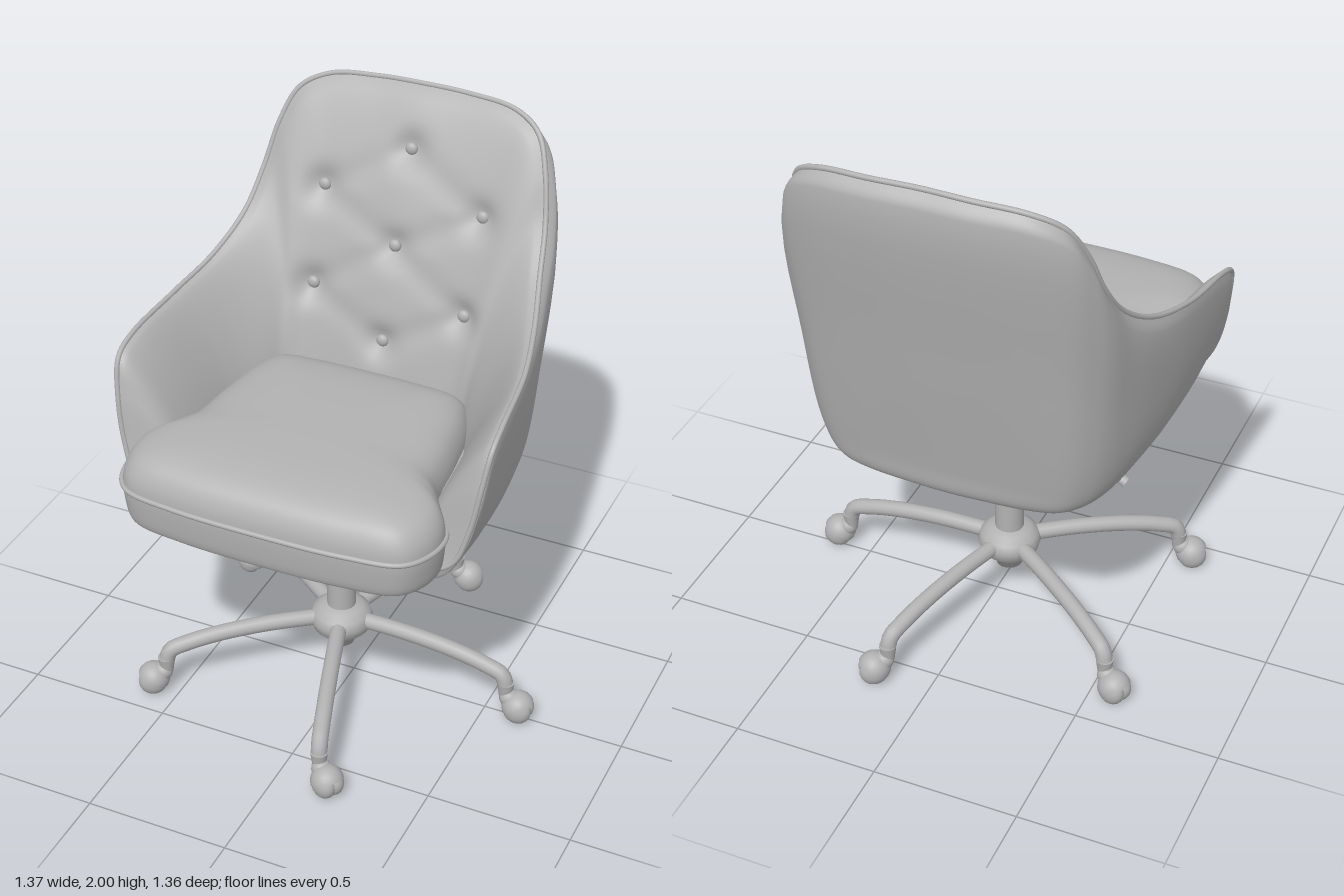
import * as THREE from 'three';

const V = (x, y, z) => new THREE.Vector3(x, y, z);
const grey = new THREE.MeshStandardMaterial({ color: 0xb2b2b2 });
grey.name = 'grey';

function add(parent, name, geometry, x = 0, y = 0, z = 0) {
  const m = new THREE.Mesh(geometry, grey);
  m.name = name;
  m.position.set(x, y, z);
  parent.add(m);
  return m;
}

// Closed, mirrored smooth loop from a half outline (front centre to back centre)
function mirrorLoop(half) {
  const other = half.slice(1, -1).reverse().map((p) => V(-p.x, p.y, p.z));
  return new THREE.CatmullRomCurve3([...half, ...other], true);
}

// Skin over closed rings of points; outward when the rings run downwards
function loft(rings) {
  const n = rings[0].length, index = [];
  for (let i = 0; i < rings.length - 1; i++) {
    for (let j = 0; j < n; j++) {
      const a = i * n + j, b = i * n + ((j + 1) % n);
      index.push(a, a + n, b, b, a + n, b + n);
    }
  }
  const g = new THREE.BufferGeometry().setFromPoints(rings.flat());
  g.setIndex(index);
  g.computeVertexNormals();
  return g;
}

// Cylinder between two points
function rod(parent, name, a, b, r1, r2 = r1) {
  const m = add(parent, name, new THREE.CylinderGeometry(r2, r1, a.distanceTo(b), 20));
  m.position.copy(a).lerp(b, 0.5);
  m.quaternion.setFromUnitVectors(V(0, 1, 0), b.clone().sub(a).normalize());
}

// Half rim of the bucket: x, y, z, then x, z of the wall just above the bottom
const SHELL = [
  [0, 0.855, 0.42, 0, 0.42], [0.28, 0.855, 0.42, 0.28, 0.42], [0.46, 0.86, 0.42, 0.45, 0.42],
  [0.56, 0.91, 0.415, 0.535, 0.41], [0.607, 1.03, 0.4, 0.57, 0.395], [0.637, 1.2, 0.375, 0.585, 0.36],
  [0.65, 1.31, 0.335, 0.587, 0.31], [0.648, 1.35, 0.25, 0.587, 0.22], [0.622, 1.385, 0, 0.573, 0],
  [0.576, 1.44, -0.2, 0.55, -0.17], [0.532, 1.54, -0.35, 0.53, -0.28], [0.506, 1.67, -0.45, 0.505, -0.36],
  [0.474, 1.82, -0.515, 0.47, -0.42], [0.425, 1.925, -0.57, 0.41, -0.47], [0.33, 1.973, -0.61, 0.3, -0.495],
  [0.16, 1.987, -0.63, 0.15, -0.505], [0, 1.991, -0.63, 0, -0.51],
];

const BUTTONS = [[0, 1.8], [-0.285, 1.64], [0.285, 1.64], [0, 1.5], [-0.275, 1.325], [0.275, 1.325], [0, 1.185]];
const CREASES = [[0, 1], [0, 2], [1, 3], [2, 3], [3, 4], [3, 5], [4, 6], [5, 6]];

// Depth of the tufting at a point of the backrest
function tuft(x, y) {
  let crease = 0, dent = 0;
  for (const [bx, by] of BUTTONS) dent = Math.max(dent, Math.exp(-((x - bx) ** 2 + (y - by) ** 2) / 0.003));
  for (const [a, b] of CREASES) {
    const [ax, ay] = BUTTONS[a], dx = BUTTONS[b][0] - ax, dy = BUTTONS[b][1] - ay;
    const t = THREE.MathUtils.clamp(((x - ax) * dx + (y - ay) * dy) / (dx * dx + dy * dy), 0, 1);
    const d2 = (x - ax - t * dx) ** 2 + (y - ay - t * dy) ** 2;
    crease = Math.max(crease, Math.exp(-d2 / 0.002));
  }
  return 0.03 * dent + 0.008 * crease;
}

function buildShell(parent) {
  const rim = mirrorLoop(SHELL.map(([x, y, z]) => V(x, y, z)));
  const knee = mirrorLoop(SHELL.map((r) => V(r[3], 0, r[4])));
  const N = 256, OUT = 30, IN = 56;
  const outer = Array.from({ length: OUT + 2 }, () => []);
  const inner = Array.from({ length: IN + 2 }, () => []);
  for (let j = 0; j < N; j++) {
    const R = rim.getPoint(j / N), K = knee.getPoint(j / N);
    const dir = V(K.x, 0, Math.min(K.z + 0.1, 0));
    dir.divideScalar(Math.max(dir.length(), 0.3));
    const tall = THREE.MathUtils.clamp((R.y - 0.855) / 0.35, 0, 1);
    const rear = THREE.MathUtils.smoothstep(-R.z, -0.1, 0.55);

    // outside wall, rounding under to the bottom
    const F = V(K.x * 0.82, 0, K.z > 0 ? K.z : K.z * 0.89);
    F.y = 0.79 + 0.07 * F.z;
    K.y = Math.min(F.y + 0.13, F.y + (R.y - F.y) * 0.4);
    const shoulder = R.clone().addScaledVector(dir, (0.004 + 0.034 * rear) * tall).add(V(0, -0.05 * tall - 0.003, 0));
    const mid = shoulder.clone().lerp(K, 0.55).addScaledVector(dir, 0.012 * tall);
    const turn = K.clone().lerp(F, 0.55).addScaledVector(dir, 0.015);
    turn.y = F.y + (K.y - F.y) * 0.3;
    const column = new THREE.CatmullRomCurve3([R, shoulder, mid, K, turn, F]);
    for (let i = 0; i <= OUT; i++) outer[i].push(column.getPoint(i / OUT));
    outer[OUT + 1].push(V(0, 0.785, 0));

    // padded inside, thickest on the backrest
    const foot = V(K.x * 0.74, Math.min(0.92, R.y - 0.01), K.z * (K.z < 0 ? 0.49 : 0.9));
    for (let i = 0; i <= IN; i++) {
      const t = i / IN;
      const puff = (0.05 + 0.035 * rear) * tall * Math.sin(Math.PI * Math.min(t, 0.999)) ** 0.4;
      const p = R.clone().lerp(foot, t).addScaledVector(dir, -puff);
      if (p.z < -0.15) p.z -= tuft(p.x, p.y) * Math.min(1, t * 8);
      inner[i].push(p);
    }
    inner[IN + 1].push(V(0, 0.87, 0.1));
  }
  add(parent, 'outerShell', loft(outer));
  add(parent, 'innerPadding', loft(inner.slice().reverse()));
  add(parent, 'shellPiping', new THREE.TubeGeometry(rim, 320, 0.009, 8, true));

  // buttons sit in the dents of the backrest
  const back = inner.flat().filter((p) => p.z < -0.2);
  for (const [x, y] of BUTTONS) {
    const gap = (p) => (p.x - x) ** 2 + (p.y - y) ** 2;
    const spot = back.reduce((best, p) => (gap(p) < gap(best) ? p : best));
    add(parent, 'button', new THREE.SphereGeometry(0.022, 16, 12), x, y, spot.z + 0.006).scale.z = 0.7;
  }
}

function buildSeat(parent) {
  const half = [[0, 0.65], [0.3, 0.64], [0.48, 0.605], [0.54, 0.52], [0.548, 0.42], [0.505, 0.34],
    [0.455, 0.25], [0.43, 0.05], [0.395, -0.15], [0.35, -0.235], [0.2, -0.258], [0, -0.262]];
  const seam = mirrorLoop(half.map(([x, z]) => V(x, 1.005, z)));
  // scale and height of each layer, top to bottom
  const section = new THREE.CatmullRomCurve3([[0, 1.155], [0.35, 1.153], [0.65, 1.145], [0.83, 1.127], [0.93, 1.095],
    [0.98, 1.05], [0.995, 1.005], [0.99, 0.94], [0.97, 0.88], [0.93, 0.862], [0.5, 0.858], [0, 0.858]]
    .map(([s, y]) => V(s, y, 0)));
  const rings = section.getPoints(44).map((c) =>
    Array.from({ length: 176 }, (_, j) => {
      const p = seam.getPoint(j / 176);
      return V(p.x * c.x, c.y, 0.2 + (p.z - 0.2) * c.x);
    }));
  add(parent, 'seatCushion', loft(rings));
  add(parent, 'seatPiping', new THREE.TubeGeometry(seam, 240, 0.009, 8, true));
}

function buildMechanism(parent) {
  const plates = [['bottomPanel', 0.66, 0.012, 0.6, 0.786, 0], ['mountingPlate', 0.4, 0.02, 0.42, 0.778, 0.01],
    ['tiltMechanism', 0.31, 0.035, 0.38, 0.757, 0.01]];
  for (const [name, w, h, d, y, z] of plates) {
    add(parent, name, new THREE.BoxGeometry(w, h, d), 0, y, z).rotation.x = -0.07;
  }
  rod(parent, 'leverRod', V(-0.13, 0.765, 0.02), V(-0.32, 0.65, 0.02), 0.009);
  rod(parent, 'leverHandle', V(-0.3, 0.662, 0.02), V(-0.42, 0.598, 0.02), 0.012, 0.019);
}

function buildBase(parent) {
  // gas column and hub share one axis
  const profile = (name, pts) =>
    add(parent, name, new THREE.LatheGeometry(pts.map(([r, y]) => new THREE.Vector2(r, y)), 32));
  profile('column', [[0.05, 0.27], [0.05, 0.535], [0.046, 0.54], [0.03, 0.54], [0.03, 0.7]]);
  profile('columnCollar', [[0.03, 0.7], [0.045, 0.705], [0.055, 0.72], [0.055, 0.755]]);
  profile('hub', [[0, 0.13], [0.045, 0.13], [0.045, 0.17], [0.075, 0.175], [0.1, 0.2], [0.11, 0.235],
    [0.1, 0.265], [0.075, 0.285], [0.05, 0.293]]);

  const path = new THREE.CatmullRomCurve3([[0.06, 0.24], [0.25, 0.238], [0.42, 0.222], [0.54, 0.197],
    [0.605, 0.172], [0.62, 0.13]].map(([x, y]) => V(x, y, 0)));
  const swivel = [0, -0.7, 0.2, -0.2, 0.7];
  swivel.forEach((turn, i) => {
    const spoke = new THREE.Group();
    spoke.name = 'spoke';
    spoke.rotation.y = (i * Math.PI * 2) / 5;
    parent.add(spoke);
    add(spoke, 'leg', new THREE.TubeGeometry(path, 32, 0.028, 14));

    // caster turning about its stem: twin wheels under a hood
    const caster = new THREE.Group();
    caster.name = 'caster';
    caster.position.x = 0.62;
    caster.rotation.y = turn;
    spoke.add(caster);
    rod(caster, 'casterStem', V(0, 0.085, 0), V(0, 0.145, 0), 0.022, 0.03);
    for (const side of [-1, 1]) {
      add(caster, 'casterWheel', new THREE.SphereGeometry(0.05, 20, 14), 0.05, 0.05, side * 0.016).scale.z = 0.75;
    }
    const hoodShape = new THREE.SphereGeometry(0.057, 20, 10, 0, Math.PI * 2, 0, Math.PI / 2);
    add(caster, 'casterHood', hoodShape, 0.048, 0.056, 0).rotation.z = 0.45;
    add(caster, 'casterArm', new THREE.SphereGeometry(0.034, 16, 12), 0.013, 0.085, 0);
  });
}

export function createModel() {
  const chair = new THREE.Group();
  chair.name = 'officeChair';
  const parts = { shell: buildShell, seat: buildSeat, mechanism: buildMechanism, base: buildBase };
  for (const [name, build] of Object.entries(parts)) {
    const g = new THREE.Group();
    g.name = name;
    g.position.set(name === 'shell' ? -0.034 : -0.042, 0, name === 'base' ? 0.012 : 0);
    build(g);
    chair.add(g);
  }
  return chair;
}
